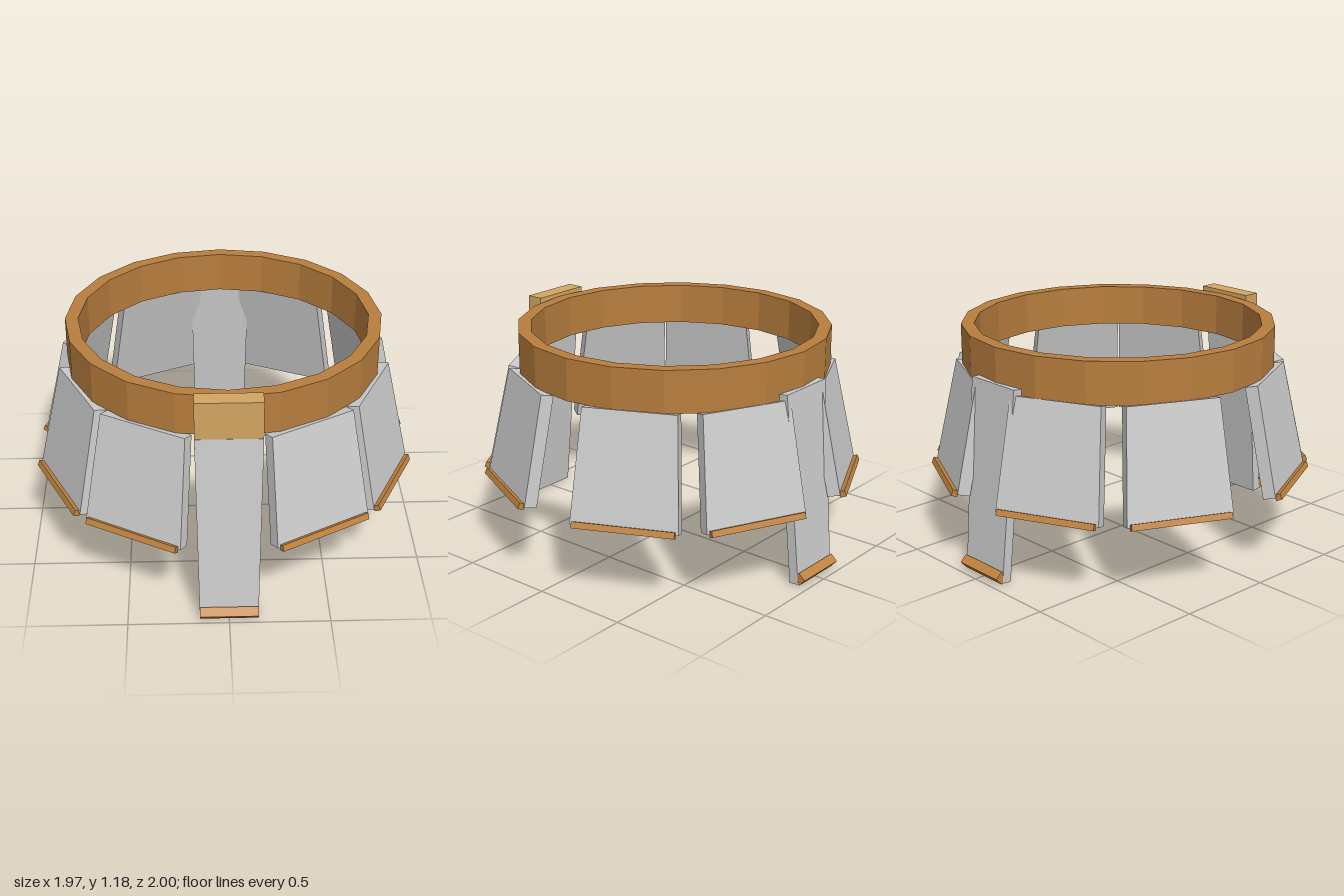
import * as THREE from 'three';

const mat = (color) => new THREE.MeshStandardMaterial({ color, flatShading: true });
const plateMat = mat(0xcccccc);
const leatherMat = mat(0xb87e3e);
const trimMat = mat(0xc0833f);
const buckleMat = mat(0xd2a662);

function addMesh(parent, name, geometry, material) {
  const mesh = new THREE.Mesh(geometry, material);
  mesh.name = name;
  parent.add(mesh);
  return mesh;
}

// A flared trapezoid plate hanging from the belt, with a tilted square bar along its lower edge.
// r and y describe the outer face at its top and bottom; w are full widths.
function hangingPlate(name, angle, p) {
  const group = new THREE.Group();
  group.name = name;
  const dr = p.rBottom - p.rTop, dy = p.yTop - p.yBottom;
  const length = Math.hypot(dr, dy), a = p.wTop / 2, b = p.wBottom / 2;

  const outline = new THREE.Shape([
    new THREE.Vector2(-a, 0), new THREE.Vector2(-b, -length),
    new THREE.Vector2(b, -length), new THREE.Vector2(a, 0),
  ]);
  const geometry = new THREE.ExtrudeGeometry(outline, { depth: p.thick, bevelEnabled: false });
  geometry.translate(0, 0, -p.thick);
  const plate = addMesh(group, 'plate', geometry, plateMat);
  plate.position.set(0, p.yTop, p.rTop);
  plate.rotation.x = -Math.atan2(dr, dy);

  const trim = addMesh(group, 'lowerTrim', new THREE.BoxGeometry(p.trimW, p.trimS, p.trimS), trimMat);
  trim.position.set(0, p.trimY, p.trimR);
  trim.rotation.x = -p.trimTilt;

  group.rotation.y = THREE.MathUtils.degToRad(angle);
  return group;
}

export function createModel() {
  const model = new THREE.Group();
  model.name = 'armouredBeltSkirt';
  const body = new THREE.Group();
  body.name = 'skirt';
  body.position.z = -0.015;
  model.add(body);

  // Belt: a 20-sided ring with a rectangular section
  const section = [[0.81, 0.95], [0.81, 1.165], [0.743, 1.165], [0.743, 0.95], [0.81, 0.95]]
    .map(([x, y]) => new THREE.Vector2(x, y));
  const belt = addMesh(body, 'belt', new THREE.LatheGeometry(section, 20), leatherMat);
  belt.position.z = -0.01;

  // Buckle block on the front of the belt
  const buckle = addMesh(body, 'buckle', new THREE.BoxGeometry(0.325, 0.25, 0.09), buckleMat);
  buckle.position.set(0, 1.06, 0.84);

  // Wide side plates, mirrored left and right
  const side = {
    rTop: 0.818, rBottom: 0.938, yTop: 0.958, yBottom: 0.4, wTop: 0.47, wBottom: 0.54, thick: 0.065,
    trimW: 0.51, trimS: 0.032, trimY: 0.403, trimR: 0.947, trimTilt: 0.38,
  };
  for (const [label, angle] of [['front', 30], ['frontSide', 65], ['backSide', 115], ['back', 155]]) {
    body.add(hangingPlate(label + 'PlateLeft', angle, side));
    body.add(hangingPlate(label + 'PlateRight', -angle, side));
  }

  // Long narrow plates at the centre front and back
  const long = {
    yTop: 0.99, yBottom: 0.005, wTop: 0.325, wBottom: 0.29, thick: 0.05,
    trimW: 0.29, trimS: 0.048, trimY: 0.037, trimTilt: 0.84,
  };
  body.add(hangingPlate('centreFrontPlate', 0, { ...long, rTop: 0.886, rBottom: 0.975, trimR: 0.981 }));
  body.add(hangingPlate('centreBackPlate', 180, { ...long, rTop: 0.84, rBottom: 0.927, trimR: 0.933 }));

  return model;
}
